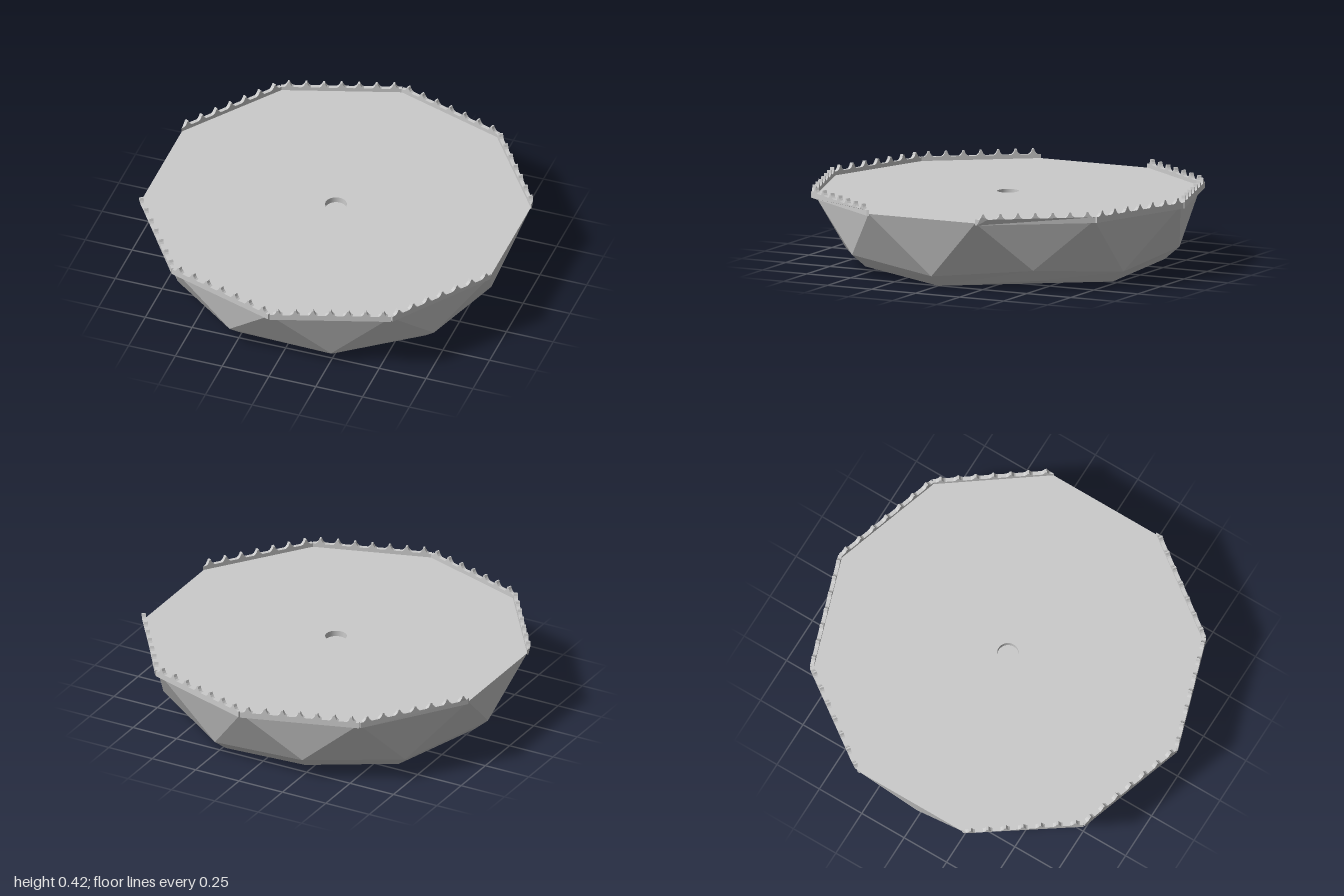
import * as THREE from 'three';

const SIDES = 10, STEP = Math.PI * 2 / SIDES;
const RIM_Y = 0.37, RIM_R = 0.98, HOLE_R = 0.055;
const grey = new THREE.MeshStandardMaterial({ color: 0xcccccc, flatShading: true });
const greyDouble = new THREE.MeshStandardMaterial({ color: 0xcccccc, side: THREE.DoubleSide });

function add(parent, name, geometry, material = grey) {
  const mesh = new THREE.Mesh(geometry, material);
  mesh.name = name;
  parent.add(mesh);
  return mesh;
}

// Ring of ten points; even and odd points may differ in radius and height
function ring(offset, even, odd) {
  return Array.from({ length: SIDES }, (_, k) => {
    const [r, y] = k % 2 ? odd : even;
    const a = (k + offset) * STEP;
    return [r * Math.cos(a), y, r * Math.sin(a)];
  });
}

// Faceted hull: rim, zigzag belt, inset foot ring and base
function hullGeometry() {
  const rim = ring(0.5, [RIM_R, RIM_Y], [RIM_R, RIM_Y]);
  const belt = ring(0, [0.83, 0.06], [0.875, 0.11]);
  const foot = ring(0, [0.755, 0], [0.8, 0.045]);
  const pos = [];
  const tri = (a, b, c) => pos.push(...a, ...b, ...c);
  for (let k = 0; k < SIDES; k++) {
    const n = (k + 1) % SIDES, p = (k + SIDES - 1) % SIDES;
    tri(belt[k], rim[p], rim[k]);
    tri(belt[k], rim[k], belt[n]);
    tri(belt[k], belt[n], foot[n]);
    tri(belt[k], foot[n], foot[k]);
    if (k % 2 === 0) tri(foot[k], foot[n], foot[(k + 2) % SIDES]);
  }
  for (let k = 2; k < 8; k += 2) tri(foot[0], foot[k], foot[k + 2]);
  const g = new THREE.BufferGeometry();
  g.setAttribute('position', new THREE.Float32BufferAttribute(pos, 3));
  g.computeVertexNormals();
  return g;
}

// Flat deck with a round centre hole
function deckGeometry() {
  const points = ring(0.5, [RIM_R, 0], [RIM_R, 0]).map(([x, , z]) => new THREE.Vector2(x, z));
  const shape = new THREE.Shape(points);
  shape.holes.push(new THREE.Path().absarc(0, 0, HOLE_R, 0, Math.PI * 2, true));
  return new THREE.ShapeGeometry(shape, 16).rotateX(-Math.PI / 2).translate(0, RIM_Y, 0);
}

// Thin rail with seven concave-sided spikes along its top
function railShape() {
  const half = 0.305, low = 0.36, top = 0.39, tip = 0.418, spikes = 7, gap = 0.0885, w = 0.024;
  const s = new THREE.Shape();
  s.moveTo(-half, low);
  s.lineTo(half, low);
  s.lineTo(half, top);
  for (let i = spikes - 1; i >= 0; i--) {
    const x = (i - (spikes - 1) / 2) * gap;
    s.lineTo(x + w, top);
    s.quadraticCurveTo(x + w * 0.4, top + 0.006, x + 0.004, tip);
    s.lineTo(x - 0.004, tip);
    s.quadraticCurveTo(x - w * 0.4, top + 0.006, x - w, top);
  }
  s.lineTo(-half, top);
  return s;
}

export function createModel() {
  const model = new THREE.Group();
  model.name = 'facetedBase';
  add(model, 'hull', hullGeometry());
  add(model, 'deck', deckGeometry());

  // Shallow socket in the middle of the deck
  const depth = 0.03;
  add(model, 'socketWall', new THREE.CylinderGeometry(HOLE_R, HOLE_R, depth, 32, 1, true)
    .translate(0, RIM_Y - depth / 2, 0), greyDouble);
  add(model, 'socketFloor', new THREE.CircleGeometry(HOLE_R, 32)
    .rotateX(-Math.PI / 2).translate(0, RIM_Y - depth, 0));

  // Spiked rails on every side except the two facing left and right
  const rails = new THREE.Group();
  rails.name = 'spikedRails';
  model.add(rails);
  for (let k = 0; k < SIDES; k++) {
    if (k % 5 === 0) continue;
    const g = new THREE.ExtrudeGeometry(railShape(), { depth: 0.02, bevelEnabled: false, curveSegments: 3 });
    g.translate(0, 0, 0.932).rotateY(Math.PI / 2 - k * STEP);
    // Trim the rail ends flush with the open sides
    const p = g.attributes.position;
    for (let i = 0; i < p.count; i++) p.setX(i, THREE.MathUtils.clamp(p.getX(i), -0.934, 0.934));
    g.computeVertexNormals();
    add(rails, 'spikedRail', g);
  }
  return model;
}
